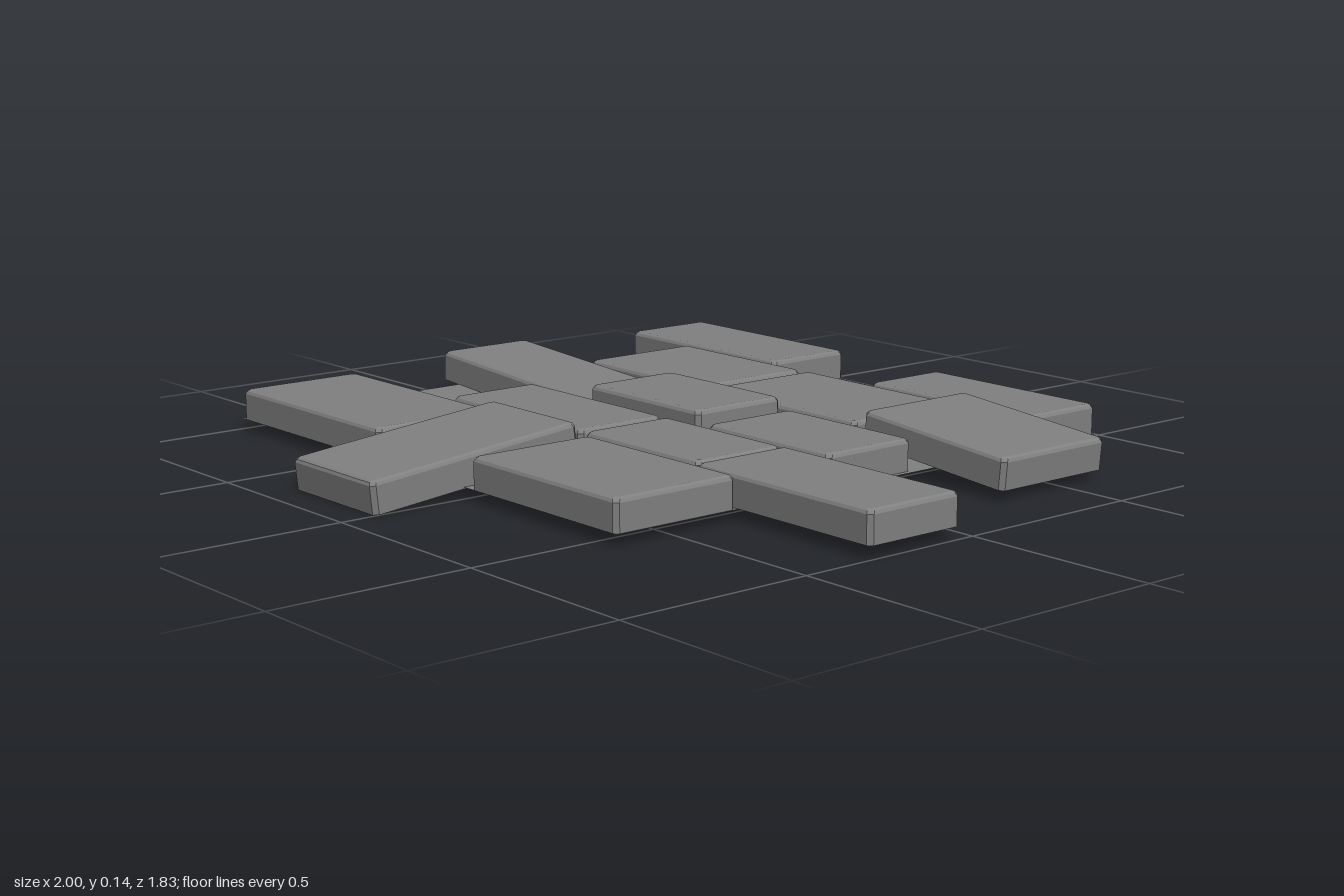
import * as THREE from 'three';

const GROUND = 0.03, H = 0.08;
const material = new THREE.MeshStandardMaterial({
  color: 0x808080, flatShading: true, side: THREE.DoubleSide,
});

// Outline of a rectangle with cut corners, running anticlockwise seen from above
function outline(w, d, cut, y) {
  const x = w / 2, z = d / 2;
  return [
    [x, z - cut], [x, -z + cut], [x - cut, -z], [-x + cut, -z],
    [-x, -z + cut], [-x, z - cut], [-x + cut, z], [x - cut, z],
  ].map(([px, pz]) => [px, y, pz]);
}

// Paver shell: chamfered top and corners, open underneath, optionally without its +x end wall
function paverGeometry(w, d, openEnd) {
  const b = 0.011;
  const rings = [
    outline(w, d, b, -H / 2),
    outline(w, d, b, H / 2 - b),
    outline(w - b * 0.7, d - b * 0.7, b, H / 2 - b * 0.35),
    outline(w - b * 2, d - b * 2, b * 0.6, H / 2),
  ];
  const n = 8, index = [];
  for (let r = 0; r < rings.length - 1; r++) {
    for (let i = 0; i < n; i++) {
      if (openEnd && r === 0 && (i < 2 || i === n - 1)) continue;
      const a = r * n + i, c = r * n + (i + 1) % n;
      index.push(a, c, c + n, a, c + n, a + n);
    }
  }
  const top = (rings.length - 1) * n;
  for (let i = 1; i < n - 1; i++) index.push(top, top + i, top + i + 1);
  const geo = new THREE.BufferGeometry();
  geo.setAttribute('position', new THREE.Float32BufferAttribute(rings.flat(2), 3));
  geo.setIndex(index);
  geo.computeVertexNormals();
  return geo;
}

// Each paver: x0, x1, z0, z1, then optional lift, tilt about x, yaw, tilt about z, open end
const rows = [
  [
    [-0.99, -0.37, -0.915, -0.65, 0, 0, -0.004, 0],
    [0.007, 0.572, -0.898, -0.648, 0, 0, -0.004, 0],
  ],
  [
    [-0.718, -0.24, -0.63, -0.277],
    [-0.213, 0.338, -0.63, -0.275, 0, 0, -0.003, 0],
    [0.362, 0.833, -0.63, -0.277, 0.015, 0, 0, -0.085],
  ],
  [
    [-0.998, -0.35, -0.259, 0.023, 0.003, 0, -0.004, -0.06, true],
    [-0.338, 0.092, -0.253, 0.022, 0.028],
    [0.122, 0.557, -0.253, 0.018, 0, 0, -0.004, 0],
  ],
  [
    [-0.56, -0.023, 0.038, 0.298],
    [-0.008, 0.417, 0.038, 0.298],
    [0.422, 0.998, 0.037, 0.312, 0, 0, -0.005, 0],
  ],
  [
    [-0.985, -0.353, 0.317, 0.664],
    [-0.338, 0.002, 0.322, 0.915, 0, 0.1, 0, 0],
    [0.033, 0.57, 0.317, 0.664],
  ],
];

export function createModel() {
  const model = new THREE.Group();
  model.name = 'pavingPatch';

  // Thin ground sheet under the pavers
  const sheet = new THREE.Mesh(new THREE.PlaneGeometry(1.57, 1.563), material);
  sheet.name = 'groundSheet';
  sheet.rotation.x = -Math.PI / 2;
  sheet.position.set(-0.213, GROUND, -0.118);
  model.add(sheet);

  // Staggered rows of pavers, a few of them loose and tilted
  rows.forEach((row, r) => {
    const group = new THREE.Group();
    group.name = `paverRow${r + 1}`;
    row.forEach(([x0, x1, z0, z1, lift = 0, rx = 0, ry = 0, rz = 0, openEnd = false], i) => {
      const paver = new THREE.Mesh(paverGeometry(x1 - x0, z1 - z0, openEnd), material);
      paver.name = `paver${i + 1}`;
      paver.position.set((x0 + x1) / 2, GROUND + H / 2 + lift, (z0 + z1) / 2);
      paver.rotation.set(rx, ry, rz);
      group.add(paver);
    });
    model.add(group);
  });
  return model;
}
